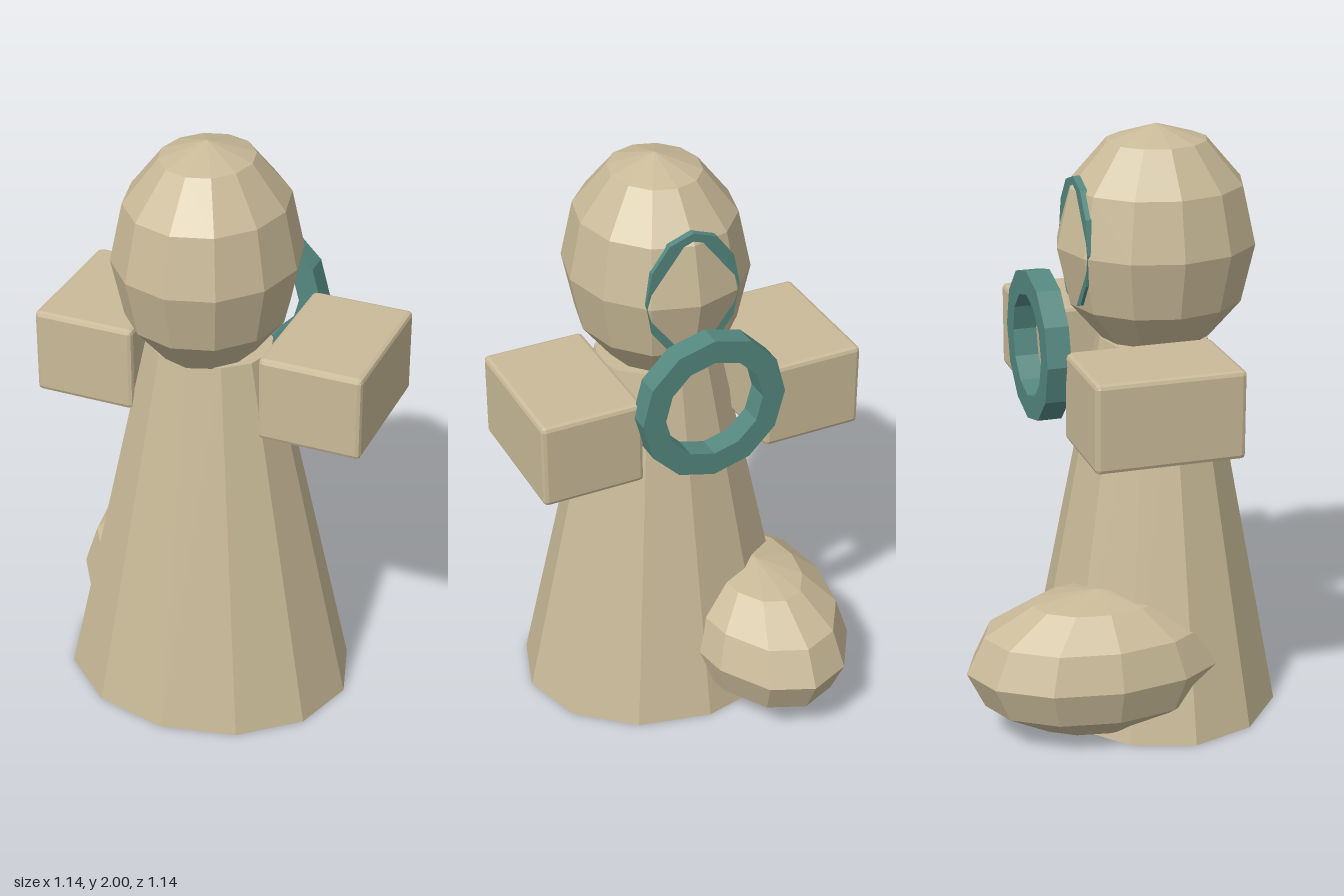
import * as THREE from 'three';
import { RoundedBoxGeometry } from 'three/addons/geometries/RoundedBoxGeometry.js';

const tan = new THREE.MeshStandardMaterial({ color: 0xc9ba98, flatShading: true });
const teal = new THREE.MeshStandardMaterial({ color: 0x558880, flatShading: true });

// Twelve-sided outline, optionally oval
function outline(Type, rx, ry) {
  const points = [];
  for (let i = 0; i < 12; i++) {
    const a = (i / 12) * Math.PI * 2;
    points.push(new THREE.Vector2(rx * Math.cos(a), ry * Math.sin(a)));
  }
  return new Type(points);
}

// Flat ring facing along z, with its back at z = 0
function ringGeometry(rx, ry, wall, depth) {
  const shape = outline(THREE.Shape, rx, ry);
  shape.holes.push(outline(THREE.Path, rx - wall, ry - wall));
  return new THREE.ExtrudeGeometry(shape, { depth, bevelEnabled: false });
}

export function createModel() {
  const model = new THREE.Group();
  model.name = 'figure';

  function add(name, geometry, material, x, y, z) {
    const mesh = new THREE.Mesh(geometry, material);
    mesh.name = name;
    mesh.position.set(x, y, z);
    model.add(mesh);
    return mesh;
  }

  // Tapered body, slightly narrower front to back
  const body = new THREE.CylinderGeometry(0.215, 0.5, 1.29, 12);
  body.scale(1, 1, 0.85);
  add('body', body, tan, 0, 0.645, 0.148);

  // Faceted egg-shaped head
  const head = new THREE.SphereGeometry(1, 12, 6);
  head.scale(0.303, 0.39, 0.337);
  add('head', head, tan, 0, 1.61, 0.157);

  // Block arms with small chamfers
  for (const side of [-1, 1]) {
    add(side > 0 ? 'leftArm' : 'rightArm',
      new RoundedBoxGeometry(0.35, 0.295, 0.495, 1, 0.015), tan, side * 0.395, 1.183, 0.027);
  }

  // Tail swung to the right behind the body
  const tail = new THREE.SphereGeometry(1, 12, 6);
  tail.scale(0.287, 0.25, 0.455);
  add('tail', tail, tan, -0.25, 0.25, -0.117);

  // Ring floating behind the neck
  add('backRing', ringGeometry(0.253, 0.253, 0.08, 0.08), teal, 0, 1.288, -0.285);

  // Oval band sunk into the back of the head
  add('headBand', ringGeometry(0.165, 0.22, 0.05, 0.06), teal, 0, 1.625, -0.125);

  return model;
}
